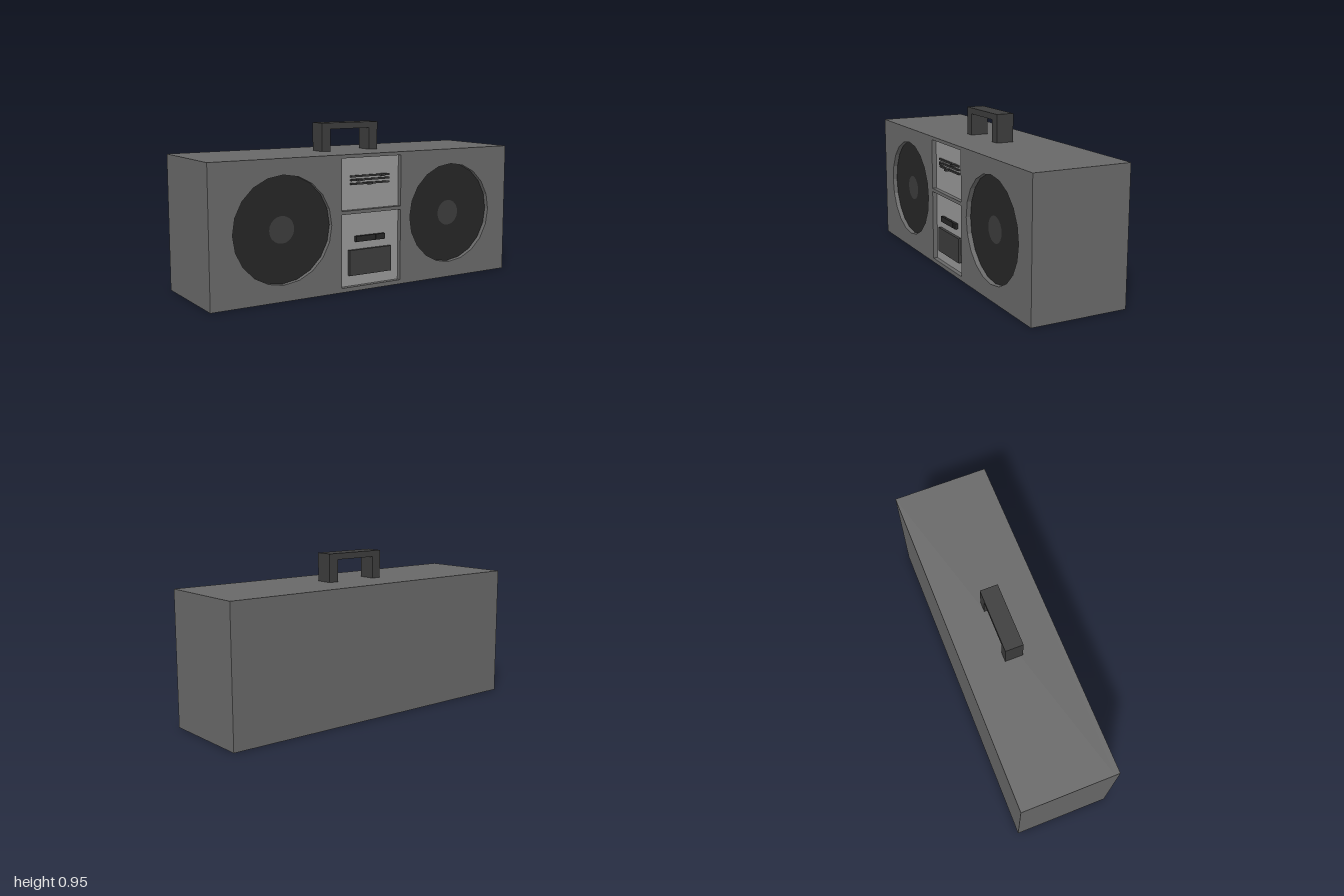
import * as THREE from 'three';

const FRONT = 0.285, FLOOR = 0.258, HEIGHT = 0.782, SIDES = 20;

const mat = (color) => new THREE.MeshStandardMaterial({ color, flatShading: true });

export function createModel() {
  const model = new THREE.Group();
  const bodyMat = mat(0x686868), panelMat = mat(0x989898);
  const darkMat = mat(0x262626), trimMat = mat(0x3c3c3c);

  const add = (name, geometry, material, x = 0, y = 0, z = 0) => {
    const mesh = new THREE.Mesh(geometry, material);
    mesh.name = name;
    mesh.position.set(x, y, z);
    model.add(mesh);
    return mesh;
  };
  // Box given by its extents
  const box = (name, material, x0, x1, y0, y1, z0, z1) =>
    add(name, new THREE.BoxGeometry(x1 - x0, y1 - y0, z1 - z0), material,
      (x0 + x1) / 2, (y0 + y1) / 2, (z0 + z1) / 2);
  const polygon = (points) => points.map(([x, y]) => new THREE.Vector2(x, y));
  const rect = (x0, x1, y0, y1) => polygon([[x0, y0], [x1, y0], [x1, y1], [x0, y1]]);
  const circle = (cx, cy, r) => polygon(Array.from({ length: SIDES }, (_, i) => {
    const a = (i / SIDES) * Math.PI * 2;
    return [cx + r * Math.cos(a), cy + r * Math.sin(a)];
  }));

  const speakerX = 0.567, speakerY = 0.393, speakerR = 0.3;
  const panels = [['tunerPanel', 0.465, 0.762], ['cassettePanel', 0.025, 0.445]];

  // Cabinet: solid back plus a front plate cut out for speakers and panels
  box('cabinet', bodyMat, -1, 1, 0, HEIGHT, -FRONT, FLOOR - 0.004);
  const plate = new THREE.Shape(rect(-1, 1, 0, HEIGHT));
  for (const s of [-1, 1]) plate.holes.push(new THREE.Path(circle(s * speakerX, speakerY, speakerR)));
  for (const [, y0, y1] of panels) plate.holes.push(new THREE.Path(rect(-0.2, 0.2, y0, y1)));
  add('frontPlate',
    new THREE.ExtrudeGeometry(plate, { depth: FRONT - FLOOR + 0.004, bevelEnabled: false }),
    bodyMat, 0, 0, FLOOR - 0.004);

  // Speakers: recessed cone discs with centre caps
  for (const [side, s] of [['right', -1], ['left', 1]]) {
    add(side + 'SpeakerCone', new THREE.ShapeGeometry(new THREE.Shape(circle(0, 0, speakerR))),
      darkMat, s * speakerX, speakerY, FLOOR);
    add(side + 'SpeakerCap', new THREE.ShapeGeometry(new THREE.Shape(circle(0, 0, 0.076))),
      trimMat, s * speakerX, speakerY, FLOOR + 0.003);
  }

  // Recessed centre panels
  for (const [name, y0, y1] of panels) {
    add(name, new THREE.PlaneGeometry(0.4, y1 - y0), panelMat, 0, (y0 + y1) / 2, FLOOR);
  }

  // Tuner scales, each with a small sliding knob
  [[0.655, 0.075], [0.634, -0.08], [0.612, -0.01]].forEach(([y, knobX], i) => {
    box('tunerScale' + (i + 1), trimMat, -0.13, 0.13, y - 0.005, y + 0.005, FLOOR, FLOOR + 0.012);
    box('tunerKnob' + (i + 1), trimMat, knobX - 0.014, knobX + 0.014, y - 0.006, y + 0.006, FLOOR, 0.288);
  });

  // Row of cassette keys
  for (let i = 0; i < 6; i++) {
    const x = -0.1 + i * 0.2 / 6;
    box('cassetteKey' + (i + 1), darkMat, x, x + 0.032, 0.28, 0.313, FLOOR, FLOOR + 0.018);
  }
  box('cassetteDoor', trimMat, -0.143, 0.141, 0.087, 0.235, FLOOR, FLOOR + 0.018);

  // Carrying handle: an arch standing on the top
  const arch = new THREE.Shape(polygon([
    [-0.193, HEIGHT], [-0.135, HEIGHT], [-0.135, 0.91], [0.13, 0.91],
    [0.13, HEIGHT], [0.19, HEIGHT], [0.19, 0.946], [-0.193, 0.946],
  ]));
  add('handle', new THREE.ExtrudeGeometry(arch, { depth: 0.106, bevelEnabled: false }),
    trimMat, 0, 0, -0.053);

  return model;
}
